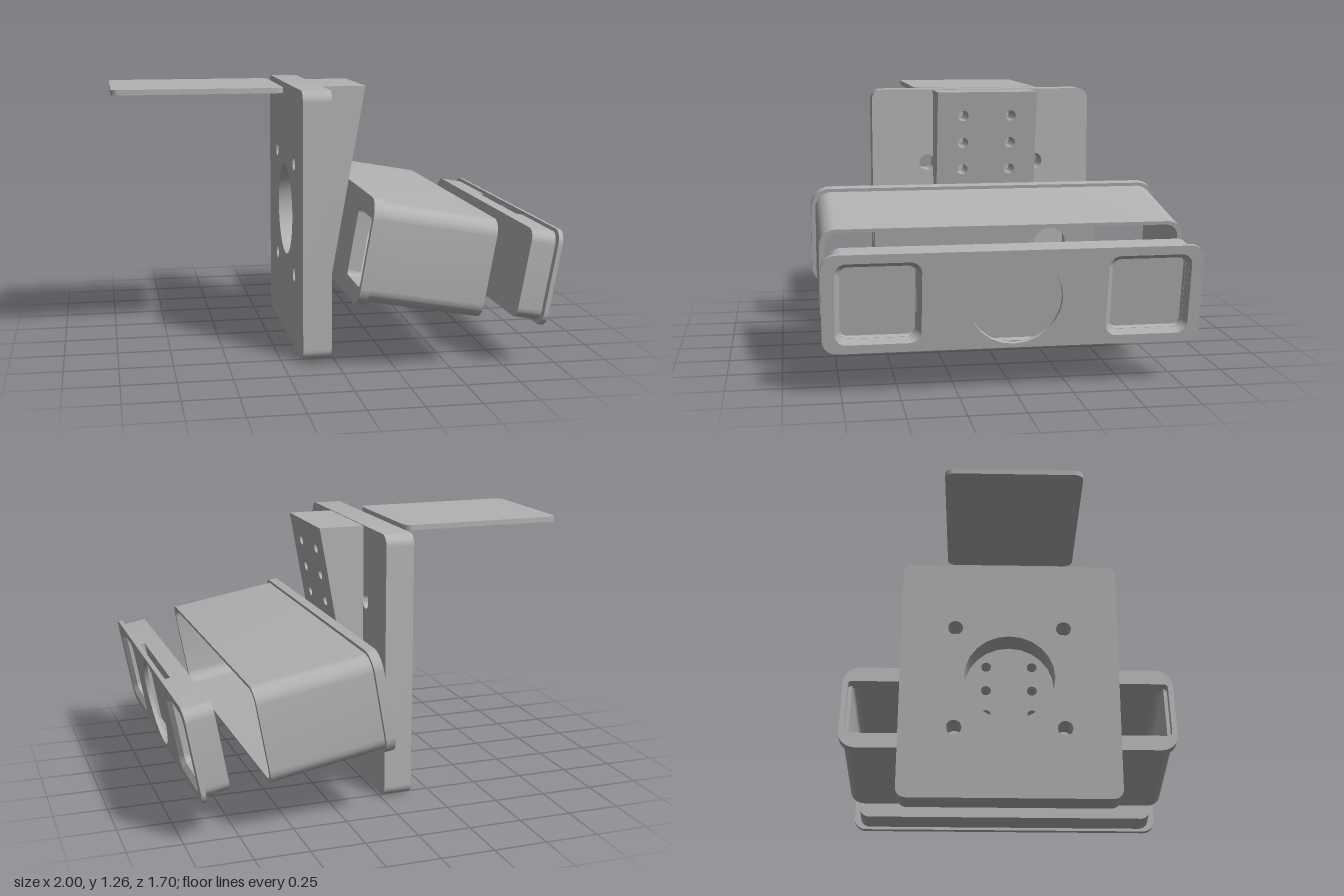
import * as THREE from 'three';
import { toCreasedNormals } from 'three/addons/utils/BufferGeometryUtils.js';

const TILT = THREE.MathUtils.degToRad(10);

// Rounded rectangle centred on (cx, cy)
function roundRect(w, h, r, cx = 0, cy = 0, Type = THREE.Shape) {
  const p = new Type(), a = w / 2 - r, b = h / 2 - r, q = Math.PI / 2;
  p.absarc(cx + a, cy + b, r, 0, q);
  p.absarc(cx - a, cy + b, r, q, 2 * q);
  p.absarc(cx - a, cy - b, r, 2 * q, 3 * q);
  p.absarc(cx + a, cy - b, r, 3 * q, 4 * q);
  p.closePath();
  return p;
}
const rectHole = (w, h, r, cx, cy) => roundRect(w, h, r, cx, cy, THREE.Path);
const roundHole = (r, cx, cy) => new THREE.Path().absarc(cx, cy, r, 0, Math.PI * 2, true);

// Extrude a (width, height) outline along +x, starting at x0
function slab(shape, x0, depth, holes = []) {
  shape.holes.push(...holes);
  const g = new THREE.ExtrudeGeometry(shape, { depth, bevelEnabled: false, curveSegments: 12 });
  g.rotateY(Math.PI / 2).translate(x0, 0, 0);
  return g;
}
const smooth = (g) => toCreasedNormals(g, 0.6);

// Sloped band joining two outlines that have equal point counts
function band(shapeA, xA, shapeB, xB) {
  const A = shapeA.getPoints(12), B = shapeB.getPoints(12), pos = [], idx = [];
  A.forEach((a, i) => {
    pos.push(xA, a.y, -a.x, xB, B[i].y, -B[i].x);
    const j = (i + 1) % A.length;
    idx.push(2 * i, 2 * i + 1, 2 * j, 2 * j, 2 * i + 1, 2 * j + 1);
  });
  const g = new THREE.BufferGeometry();
  g.setAttribute('position', new THREE.Float32BufferAttribute(pos, 3));
  g.setIndex(idx);
  g.computeVertexNormals();
  return g;
}

export function createModel() {
  const grey = new THREE.MeshStandardMaterial({ color: 0xb2b2b2, side: THREE.DoubleSide });
  grey.name = 'plain grey';
  const model = new THREE.Group();
  model.name = 'mountedSensorBar';
  const add = (parent, name, geometry) => {
    const m = new THREE.Mesh(geometry, grey);
    m.name = name;
    parent.add(m);
    return m;
  };
  const tilted = (name, x, y) => {
    const g = new THREE.Group();
    g.name = name;
    g.position.set(x, y, 0);
    g.rotation.z = -TILT;
    model.add(g);
    return g;
  };

  // Wall plate with cable opening and four screw holes
  const plateHoles = [roundHole(0.225, 0, 0.63)];
  for (const s of [-0.27, 0.27]) for (const y of [0.36, 0.9]) plateHoles.push(roundHole(0.038, s, y));
  add(model, 'wallPlate', smooth(slab(roundRect(1.08, 1.26, 0.05, 0, 0.63), -0.15, 0.135, plateHoles)));

  // Wedge: a drilled block whose front face is leaned by a rule
  const wedgeHoles = [];
  for (const s of [-0.115, 0.115])
    for (let i = 0; i < 6; i++) wedgeHoles.push(roundHole(0.025, s, 1.142 - i * 0.131));
  const outline = new THREE.Shape([[-0.24, 0.29], [0.24, 0.29], [0.24, 1.257], [-0.24, 1.257]]
    .map(([a, b]) => new THREE.Vector2(a, b)));
  const wedge = slab(outline, 0, 1, wedgeHoles);
  const p = wedge.attributes.position;
  for (let i = 0; i < p.count; i++) {
    const front = 0.203 - (1.257 - p.getY(i)) * Math.tan(TILT);
    p.setX(i, THREE.MathUtils.lerp(-0.015, front, p.getX(i)));
  }
  wedge.computeVertexNormals();
  add(model, 'tiltWedge', smooth(wedge));

  // Loose sliding cover
  const cover = slab(roundRect(0.625, 0.8, 0.04), 0, 0.025);
  cover.rotateZ(Math.PI / 2).translate(-0.6, 1.234, 0);
  add(model, 'slidingCover', smooth(cover));

  // Housing: rear flange with openings, then a hollow shell open at the front
  const housing = tilted('housing', 0.083, 0.568);
  const rearHoles = () => [
    rectHole(0.275, 0.315, 0.02, 0.683, 0),
    rectHole(0.275, 0.315, 0.02, -0.683, 0),
    roundHole(0.08, 0.32, -0.055),
  ];
  add(housing, 'rearFlange', smooth(slab(roundRect(1.695, 0.487, 0.09), 0, 0.043, rearHoles())));
  add(housing, 'rearWall', smooth(slab(roundRect(1.65, 0.45, 0.07), 0.043, 0.02, rearHoles())));
  add(housing, 'shell', smooth(slab(roundRect(1.655, 0.456, 0.075), 0.043, 0.537,
    [rectHole(1.605, 0.424, 0.06, 0, 0)])));

  // Front cap: base, slotted layer for the cover, and face flange
  const cap = tilted('frontCap', 0.8285, 0.436);
  const windowAt = 0.59;
  add(cap, 'capBase', smooth(slab(roundRect(1.59, 0.417, 0.055), 0, 0.083)));

  const W = 0.795, H = 0.2085, r = 0.055, q = Math.PI / 2;
  const slotted = new THREE.Shape();
  slotted.moveTo(0.315, -0.2);
  slotted.lineTo(0.315, H);
  slotted.absarc(W - r, H - r, r, q, 0, true);
  slotted.absarc(W - r, r - H, r, 0, -q, true);
  slotted.absarc(r - W, r - H, r, -q, -2 * q, true);
  slotted.absarc(r - W, H - r, r, 2 * q, q, true);
  slotted.lineTo(-0.315, H);
  slotted.lineTo(-0.315, -0.2);
  slotted.closePath();
  add(cap, 'coverSlotLayer', smooth(slab(slotted, 0.083, 0.031,
    [-1, 1].map((s) => rectHole(0.325, 0.325, 0.035, s * windowAt, 0)))));

  add(cap, 'faceFlange', smooth(slab(roundRect(1.66, 0.45, 0.065), 0.114, 0.021, [
    roundHole(0.207, 0, 0),
    ...[-1, 1].map((s) => rectHole(0.37, 0.37, 0.05, s * windowAt, 0)),
  ])));
  for (const s of [-1, 1]) {
    add(cap, 'windowBevel', band(
      roundRect(0.37, 0.37, 0.05, s * windowAt, 0), 0.135,
      roundRect(0.325, 0.325, 0.035, s * windowAt, 0), 0.113));
  }
  return model;
}
